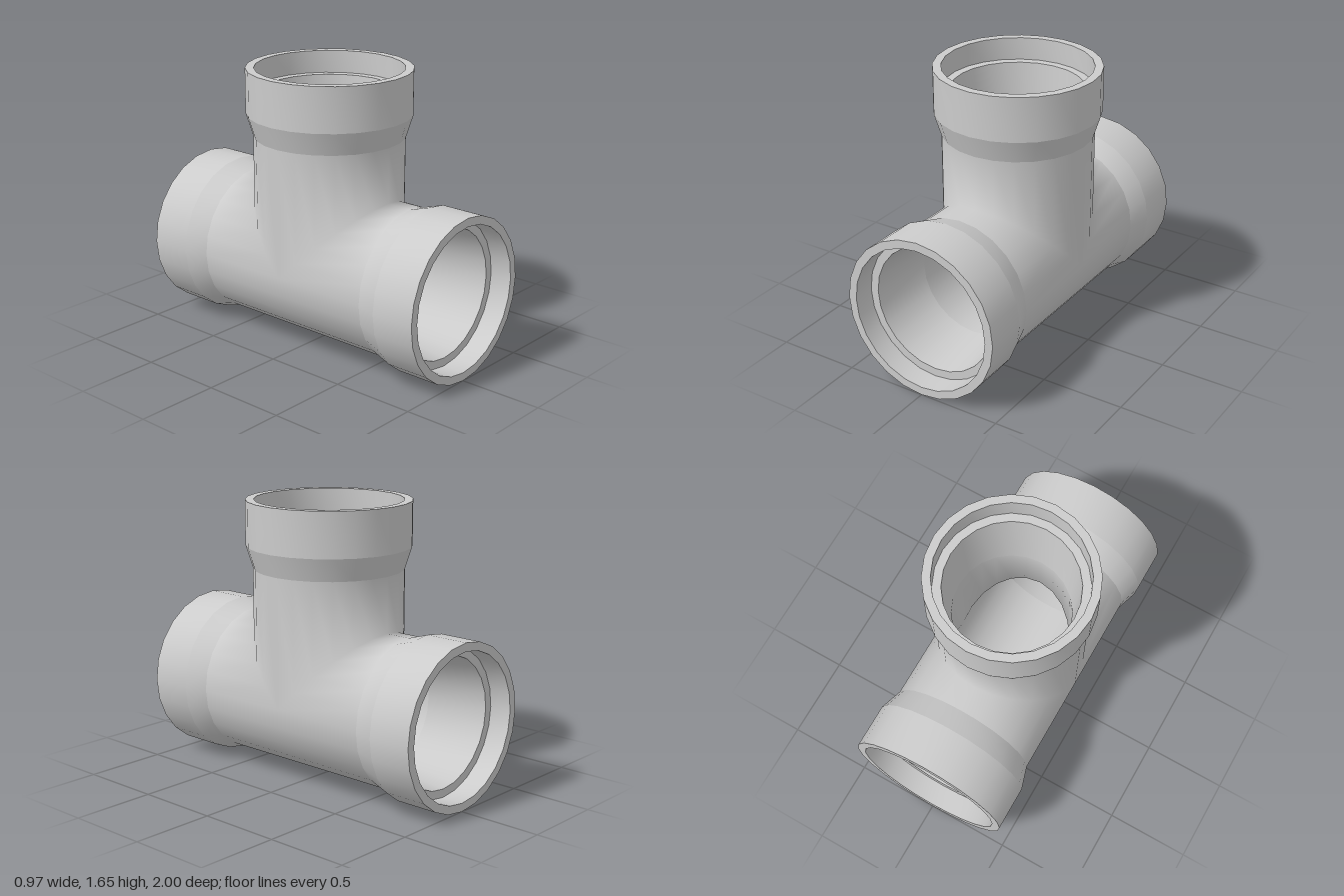
import * as THREE from 'three';
import { mergeGeometries, mergeVertices } from 'three/addons/utils/BufferGeometryUtils.js';

const SIDES = 24;
const AXIS_Y = 0.485;   // height of the main run's centre line
const OUTER = 0.443;    // outside radius of the pipe wall
const BORE = 0.345;     // inside radius of the pipe wall

// Band of quads round the z axis between two rings; z may vary with the angle.
function band(r0, z0, r1, z1) {
  const pos = [], index = [];
  for (let i = 0; i < SIDES; i++) {
    const t = (i / SIDES) * Math.PI * 2, c = Math.cos(t), s = Math.sin(t);
    pos.push(r0 * c, r0 * s, z0(s), r1 * c, r1 * s, z1(s));
    const a = 2 * i, b = 2 * ((i + 1) % SIDES);
    index.push(a, b, a + 1, b, b + 1, a + 1);
  }
  const g = new THREE.BufferGeometry();
  g.setAttribute('position', new THREE.Float32BufferAttribute(pos, 3));
  g.setIndex(index);
  return g;
}

export function createModel() {
  const group = new THREE.Group();
  const material = new THREE.MeshStandardMaterial({ color: 0xcccccc });
  const add = (name, geometry) => {
    const mesh = new THREE.Mesh(geometry, material);
    mesh.name = name;
    group.add(mesh);
  };

  // Each arm points along local +z and is mitred where it meets the others.
  const runCut = (s) => Math.max(0, s);
  const branchCut = (s) => Math.abs(s);
  const arms = [
    { name: 'frontSocket', length: 1, cut: runCut, turn: new THREE.Matrix4() },
    { name: 'backSocket', length: 1, cut: runCut, turn: new THREE.Matrix4().makeRotationY(Math.PI) },
    { name: 'branchSocket', length: 1.17, cut: branchCut, turn: new THREE.Matrix4().makeRotationX(-Math.PI / 2) },
  ];

  const outerWalls = [], boreWalls = [];
  for (const { name, length, cut, turn } of arms) {
    const place = (g) => g.applyMatrix4(turn).translate(0, AXIS_Y, 0);
    const at = (depth) => () => length - depth;

    // Socket: flare, collar, rim, inner wall, stop ledge and tapered throat [radius, depth]
    const profile = [
      [OUTER, 0.4], [0.485, 0.265], [0.485, 0], [0.435, 0],
      [0.435, 0.135], [0.385, 0.135], [BORE, 0.52],
    ];
    const bands = [];
    for (let i = 0; i < profile.length - 1; i++) {
      const [r0, d0] = profile[i], [r1, d1] = profile[i + 1];
      const g = band(r0, at(d0), r1, at(d1));
      g.computeVertexNormals();
      bands.push(g);
    }
    add(name, place(mergeGeometries(bands)));

    // Straight walls from the mitre to the socket
    outerWalls.push(place(band(OUTER, (s) => cut(OUTER * s), OUTER, at(0.4))));
    boreWalls.push(place(band(BORE, at(0.52), BORE, (s) => cut(BORE * s))));
  }

  // Join the three arms with smooth shading across the mitres
  const join = (walls) => {
    const g = mergeVertices(mergeGeometries(walls), 1e-4);
    g.computeVertexNormals();
    return g;
  };
  add('teeBody', join(outerWalls));
  add('teeBore', join(boreWalls));
  return group;
}
